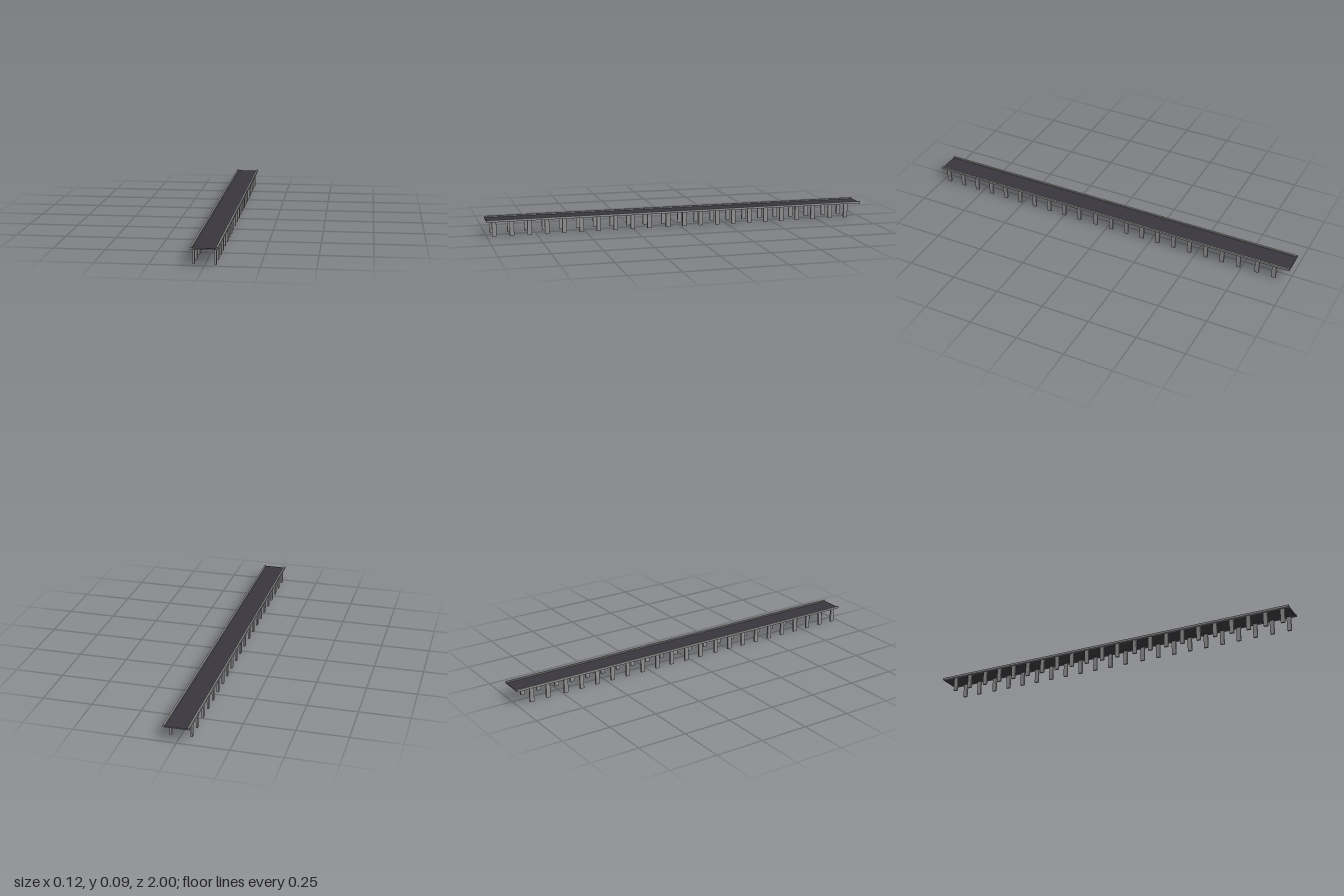
import * as THREE from 'three';

export function createModel() {
  const model = new THREE.Group();
  model.name = 'elevatedRoad';

  const asphalt = new THREE.MeshStandardMaterial({ color: 0x38363c });
  asphalt.name = 'dark asphalt';
  const concrete = new THREE.MeshStandardMaterial({ color: 0x8f8f8f });
  concrete.name = 'grey concrete';

  // Box helper: spans in x and y, centre and length in z
  function addBox(name, x0, x1, y0, y1, z, depth, material) {
    const mesh = new THREE.Mesh(new THREE.BoxGeometry(x1 - x0, y1 - y0, depth), material);
    mesh.position.set((x0 + x1) / 2, (y0 + y1) / 2, z);
    mesh.name = name;
    model.add(mesh);
  }

  // Road deck: dark above and below, concrete at the ends
  addBox('deck', -0.054, 0.054, 0.0745, 0.0795, 0, 2,
    [concrete, concrete, asphalt, asphalt, concrete, concrete]);

  // Kerbs along both edges
  addBox('rightKerb', -0.063, -0.054, 0.0745, 0.0855, 0, 2, concrete);
  addBox('leftKerb', 0.053, 0.062, 0.0745, 0.0855, 0, 2, concrete);

  // Pillars in bays of ten, with a slightly wider gap between bays
  for (let i = 0; i < 22; i++) {
    const z = 0.963 - Math.floor(i / 10) * 0.897 - (i % 10) * 0.0887;
    addBox('rightPillar', -0.0555, -0.0465, 0, 0.0765, z, 0.022, concrete);
    addBox('leftPillar', 0.0435, 0.0525, 0, 0.0765, z, 0.022, concrete);
  }

  return model;
}
